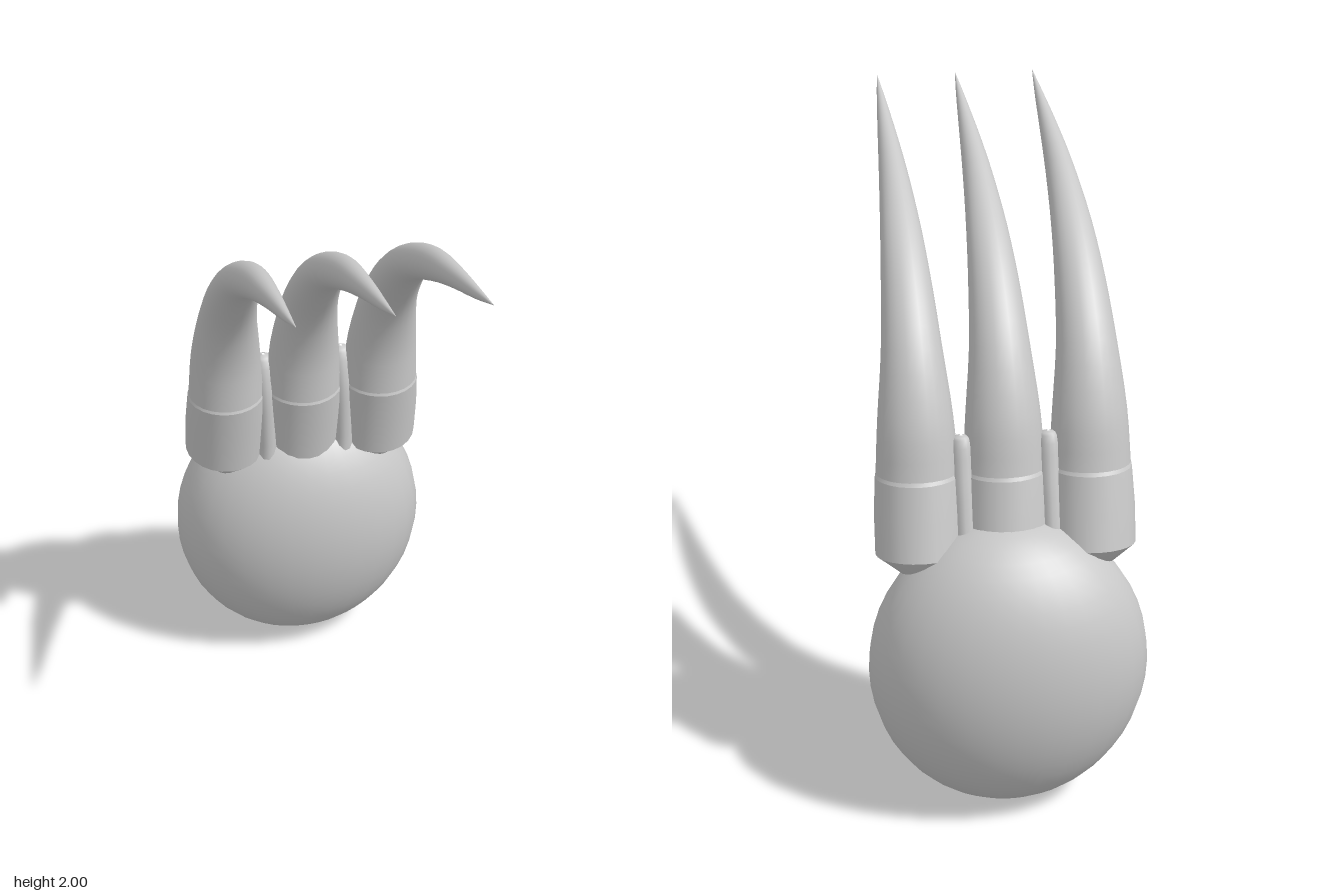
import * as THREE from 'three';

// Each section: [front z, front y, back z, back y, half width]
const CLAW = [
  [-0.265, 1.075, -0.495, 1.1, 0.125],
  [-0.255, 1.235, -0.455, 1.27, 0.114],
  [-0.205, 1.395, -0.36, 1.47, 0.093],
  [-0.1, 1.54, -0.21, 1.635, 0.078],
  [0.03, 1.66, -0.03, 1.76, 0.064],
  [0.245, 1.775, 0.21, 1.868, 0.046],
  [0.455, 1.865, 0.435, 1.927, 0.03],
  [0.67, 1.945, 0.66, 1.973, 0.013],
  [0.8, 2.0, 0.8, 2.0, 0.0005],
];
const SLEEVE = [
  [-0.3, 0.815, -0.57, 0.87, 0.136],
  [-0.28, 0.95, -0.535, 0.985, 0.135],
  [-0.263, 1.065, -0.502, 1.09, 0.128],
];
const LIP = [SLEEVE[2], [-0.268, 1.08, -0.492, 1.105, 0.122]];
const UNDERSIDE = [
  [-0.39, 0.74, -0.48, 0.76, 0.03],
  [-0.34, 0.785, -0.54, 0.82, 0.085],
  SLEEVE[0],
];
const WEB = [
  [-0.32, 0.82, -0.53, 0.86, 0.05],
  [-0.325, 1.0, -0.48, 1.02, 0.045],
  [-0.335, 1.1, -0.45, 1.11, 0.04],
  [-0.365, 1.19, -0.42, 1.195, 0.03],
  [-0.39, 1.205, -0.4, 1.205, 0.005],
];

// Resamples sections along smooth curves
function smooth(sections, count) {
  const curve = (pick) => new THREE.CatmullRomCurve3(sections.map((s) => new THREE.Vector3(...pick(s))));
  const front = curve((s) => [s[0], s[1], s[4]]);
  const back = curve((s) => [s[2], s[3], s[4]]);
  return Array.from({ length: count + 1 }, (_, i) => {
    const f = front.getPoint(i / count), b = back.getPoint(i / count);
    return [f.x, f.y, b.x, b.y, Math.max(f.z, 0.0005)];
  });
}

// Skins elliptical rings into one smooth surface
function loft(sections, sides = 24) {
  const positions = [], indices = [];
  sections.forEach(([fz, fy, bz, by, w], row) => {
    for (let i = 0; i < sides; i++) {
      const t = (i / sides) * Math.PI * 2, s = Math.sin(t);
      positions.push(w * Math.cos(t), (fy + by) / 2 + ((fy - by) / 2) * s, (fz + bz) / 2 + ((fz - bz) / 2) * s);
      if (row === 0) continue;
      const a = (row - 1) * sides + i, b = (row - 1) * sides + ((i + 1) % sides);
      indices.push(a, a + sides, b, b, a + sides, b + sides);
    }
  });
  const geometry = new THREE.BufferGeometry();
  geometry.setAttribute('position', new THREE.Float32BufferAttribute(positions, 3));
  geometry.setIndex(indices);
  geometry.computeVertexNormals();
  return geometry;
}

export function createModel() {
  const model = new THREE.Group();
  model.name = 'clawedPaw';
  const grey = new THREE.MeshStandardMaterial({ color: 0xc8c8c8 });
  grey.name = 'light grey';

  const add = (parent, name, geometry) => {
    const mesh = new THREE.Mesh(geometry, grey);
    mesh.name = name;
    parent.add(mesh);
    return mesh;
  };

  // Flattened egg-shaped palm
  const palm = add(model, 'palm', new THREE.SphereGeometry(1, 32, 24));
  palm.scale.set(0.434, 0.477, 0.298);
  palm.position.set(0, 0.477, -0.498);

  // Three fingers, each a sleeve with a curved claw
  const parts = {
    claw: loft(smooth(CLAW, 24)),
    sleeve: loft(SLEEVE),
    sleeveLip: loft(LIP),
    sleeveUnderside: loft(UNDERSIDE),
  };
  ['right', 'middle', 'left'].forEach((side, i) => {
    const finger = new THREE.Group();
    finger.name = side + 'Finger';
    finger.position.x = (i - 1) * 0.264;
    for (const [name, geometry] of Object.entries(parts)) add(finger, name, geometry);
    model.add(finger);
  });

  // Webs joining neighbouring fingers
  const web = loft(smooth(WEB, 12), 16);
  for (const side of [-1, 1]) add(model, side < 0 ? 'rightWeb' : 'leftWeb', web).position.x = side * 0.132;

  return model;
}
